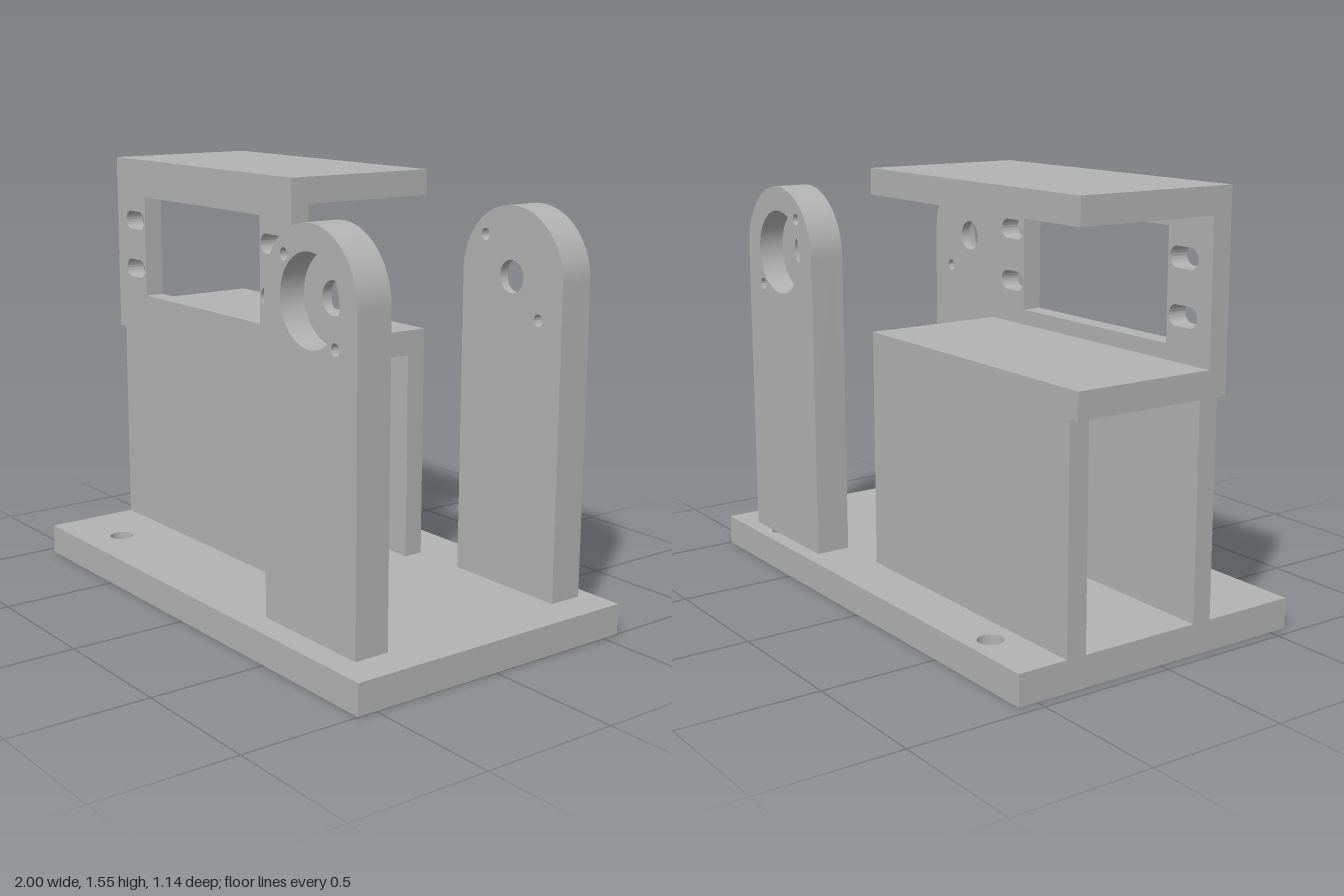
import * as THREE from 'three';
import { toCreasedNormals } from 'three/addons/utils/BufferGeometryUtils.js';

const grey = new THREE.MeshStandardMaterial({ color: 0xb2b2b2 });
grey.name = 'grey';

function circle(x, y, r) {
  return new THREE.Path().absarc(x, y, r, 0, Math.PI * 2, true);
}

// Rounded slot running along x
function slot(x0, x1, y, r) {
  const p = new THREE.Path();
  p.absarc(x0 + r, y, r, Math.PI / 2, Math.PI * 1.5, false);
  p.absarc(x1 - r, y, r, -Math.PI / 2, Math.PI / 2, false);
  p.closePath();
  return p;
}

function polygon(points, Kind = THREE.Shape) {
  return new Kind(points.map(([x, y]) => new THREE.Vector2(x, y)));
}

function rect(x0, x1, y0, y1, Kind) {
  return polygon([[x0, y0], [x1, y0], [x1, y1], [x0, y1]], Kind);
}

// Plate extruded from z0 to z1
function plate(name, shape, holes, z0, z1) {
  shape.holes.push(...holes);
  const g = new THREE.ExtrudeGeometry(shape, { depth: z1 - z0, bevelEnabled: false, curveSegments: 32 });
  g.translate(0, 0, z0);
  const mesh = new THREE.Mesh(toCreasedNormals(g, 0.5), grey);
  mesh.name = name;
  return mesh;
}

function box(name, x0, x1, y0, y1, z0, z1) {
  const g = new THREE.BoxGeometry(x1 - x0, y1 - y0, z1 - z0);
  g.translate((x0 + x1) / 2, (y0 + y1) / 2, (z0 + z1) / 2);
  const mesh = new THREE.Mesh(g, grey);
  mesh.name = name;
  return mesh;
}

// Round-topped upright: thin inner web plus a thicker layer with the bearing recess
function upright(name, zInner, zOuter) {
  const cx = 0.623, cy = 1.217, r = 0.243, recess = 0.095;
  const outline = () => {
    const s = new THREE.Shape();
    s.moveTo(cx - r, 0.11);
    s.lineTo(cx + r, 0.11);
    s.absarc(cx, cy, r, 0, Math.PI, false);
    s.closePath();
    return s;
  };
  const screws = () => [circle(0.49, 1.35, 0.021), circle(0.756, 1.084, 0.021)];
  const zFloor = zOuter - Math.sign(zOuter) * recess;
  const span = (a, b) => [Math.min(a, b), Math.max(a, b)];
  const group = new THREE.Group();
  group.name = name;
  group.add(
    plate('uprightWeb', outline(), [circle(cx, cy, 0.057), ...screws()], ...span(zInner, zFloor)),
    plate('uprightRecessLayer', outline(), [circle(cx, cy, 0.154), ...screws()], ...span(zFloor, zOuter))
  );
  return group;
}

export function createModel() {
  const model = new THREE.Group();
  model.name = 'motorMountStand';

  // Base with four mounting holes, drawn flat and laid down
  const mounts = [];
  for (const x of [-0.685, 0.716]) for (const z of [-0.48, 0.417]) mounts.push(circle(x, -z, 0.045));
  const base = plate('base', rect(-0.96, 1, -0.57, 0.57), mounts, 0, 0.11);
  base.geometry.rotateX(-Math.PI / 2);
  model.add(base);

  // Front panel with window and adjustment slots
  const panel = polygon([[-0.96, 0.11], [0.173, 0.11], [0.173, 1.552], [-1, 1.552], [-1, 0.88], [-0.96, 0.88]]);
  const openings = [rect(-0.793, -0.016, 1.026, 1.41, THREE.Path)];
  for (const y of [1.314, 1.125]) {
    openings.push(slot(-0.936, -0.802, y, 0.035), slot(-0.011, 0.12, y, 0.035));
  }
  model.add(plate('frontPanel', panel, openings, 0.142, 0.215));

  // Housing behind the panel
  model.add(
    box('topPlate', -1, 0.173, 1.46, 1.552, -0.385, 0.142),
    box('shelf', -1, 0.173, 0.88, 0.972, -0.385, 0.142),
    box('backWall', -0.96, 0.173, 0.11, 0.88, -0.385, -0.31)
  );

  // Bearing uprights, recesses facing outwards
  model.add(upright('frontUpright', 0.345, 0.475), upright('backUpright', -0.385, -0.513));
  return model;
}
